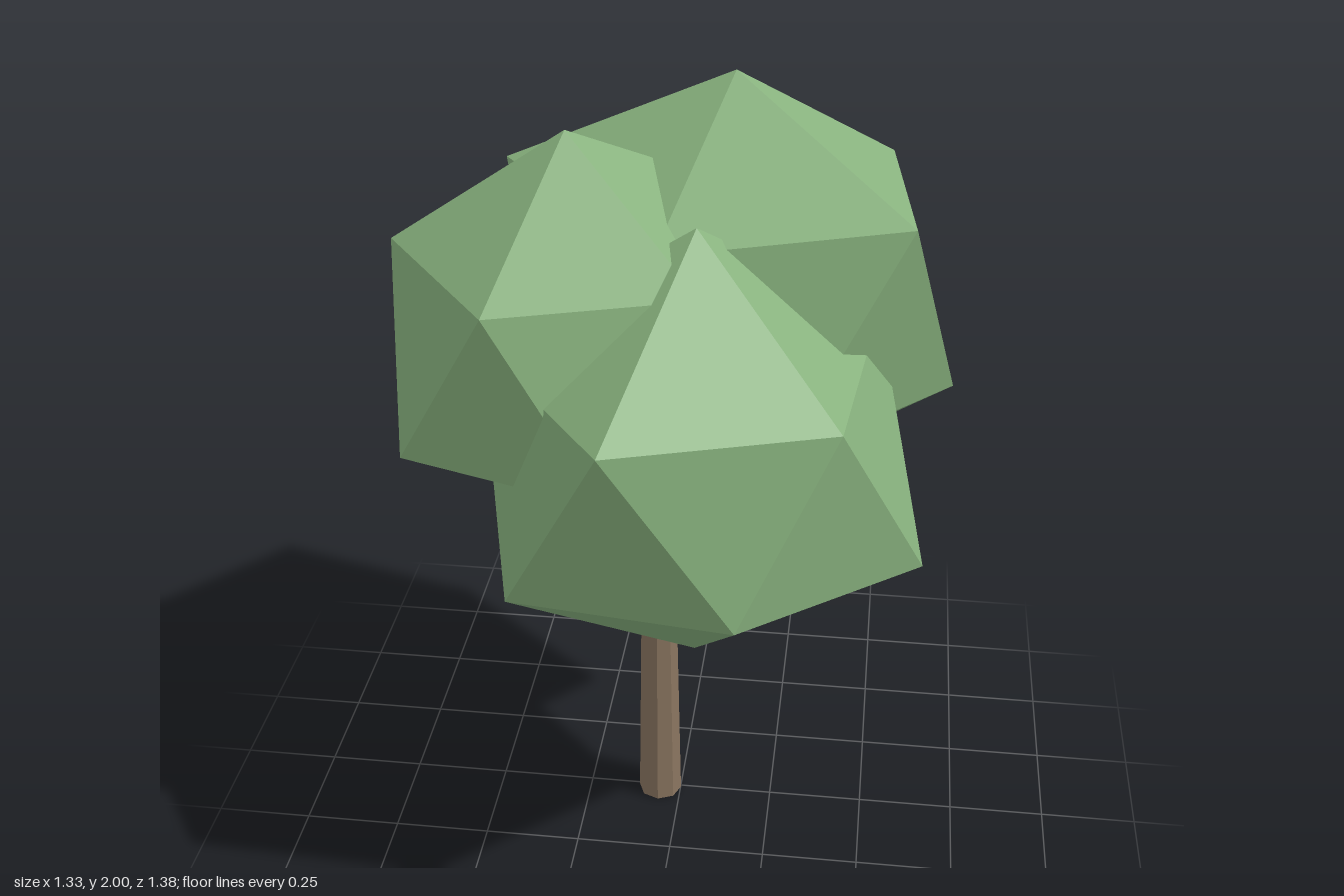
import * as THREE from 'three';

// Irregular twenty-sided leaf clump: two poles and two staggered rings of five.
// upper / lower give each ring vertex's reach from the clump's axis.
function leafClump({ center, top, bottom, upper, lower }) {
  const ring = (reaches, offset, side) => reaches.map((r, i) => {
    const a = THREE.MathUtils.degToRad(offset + 72 * i);
    return [r * Math.cos(a), side * r / 2, r * Math.sin(a)];
  });
  const U = ring(upper, 36, 1);
  const L = ring(lower, 0, -1);
  const T = [0, top, 0];
  const B = [0, -bottom, 0];
  const points = [];
  for (let i = 0; i < 5; i++) {
    const j = (i + 1) % 5;
    points.push(T, U[j], U[i]);
    points.push(U[i], L[j], L[i]);
    points.push(L[j], U[i], U[j]);
    points.push(L[i], L[j], B);
  }
  const geometry = new THREE.BufferGeometry();
  geometry.setAttribute('position', new THREE.Float32BufferAttribute(points.flat(), 3));
  geometry.computeVertexNormals();
  geometry.translate(...center);
  return geometry;
}

export function createModel() {
  const model = new THREE.Group();
  model.name = 'tree';

  const leaves = new THREE.MeshStandardMaterial({ color: 0x88b27e, flatShading: true });
  leaves.name = 'leaf green';
  const bark = new THREE.MeshStandardMaterial({ color: 0x8a7560, flatShading: true });
  bark.name = 'bark brown';

  // Tapered trunk, its top buried in the foliage
  const trunk = new THREE.Mesh(new THREE.CylinderGeometry(0.038, 0.058, 1.1, 8), bark);
  trunk.name = 'trunk';
  trunk.position.set(-0.057, 0.55, 0.006);
  model.add(trunk);

  // Three overlapping clumps of foliage
  const clumps = {
    frontFoliage: {
      center: [0.06, 1.208, 0.21], top: 0.572, bottom: 0.568,
      upper: [0.43, 0.503, 0.5, 0.5, 0.505],
      lower: [0.55, 0.433, 0.505, 0.5, 0.47],
    },
    backFoliage: {
      center: [0.105, 1.485, -0.208], top: 0.515, bottom: 0.62,
      upper: [0.54, 0.455, 0.555, 0.505, 0.465],
      lower: [0.56, 0.5, 0.5, 0.43, 0.415],
    },
    rightFoliage: {
      center: [-0.25, 1.455, 0.085], top: 0.49, bottom: 0.448,
      upper: [0.41, 0.405, 0.418, 0.39, 0.5],
      lower: [0.45, 0.45, 0.45, 0.483, 0.45],
    },
  };
  for (const [name, spec] of Object.entries(clumps)) {
    const clump = new THREE.Mesh(leafClump(spec), leaves);
    clump.name = name;
    model.add(clump);
  }
  return model;
}
